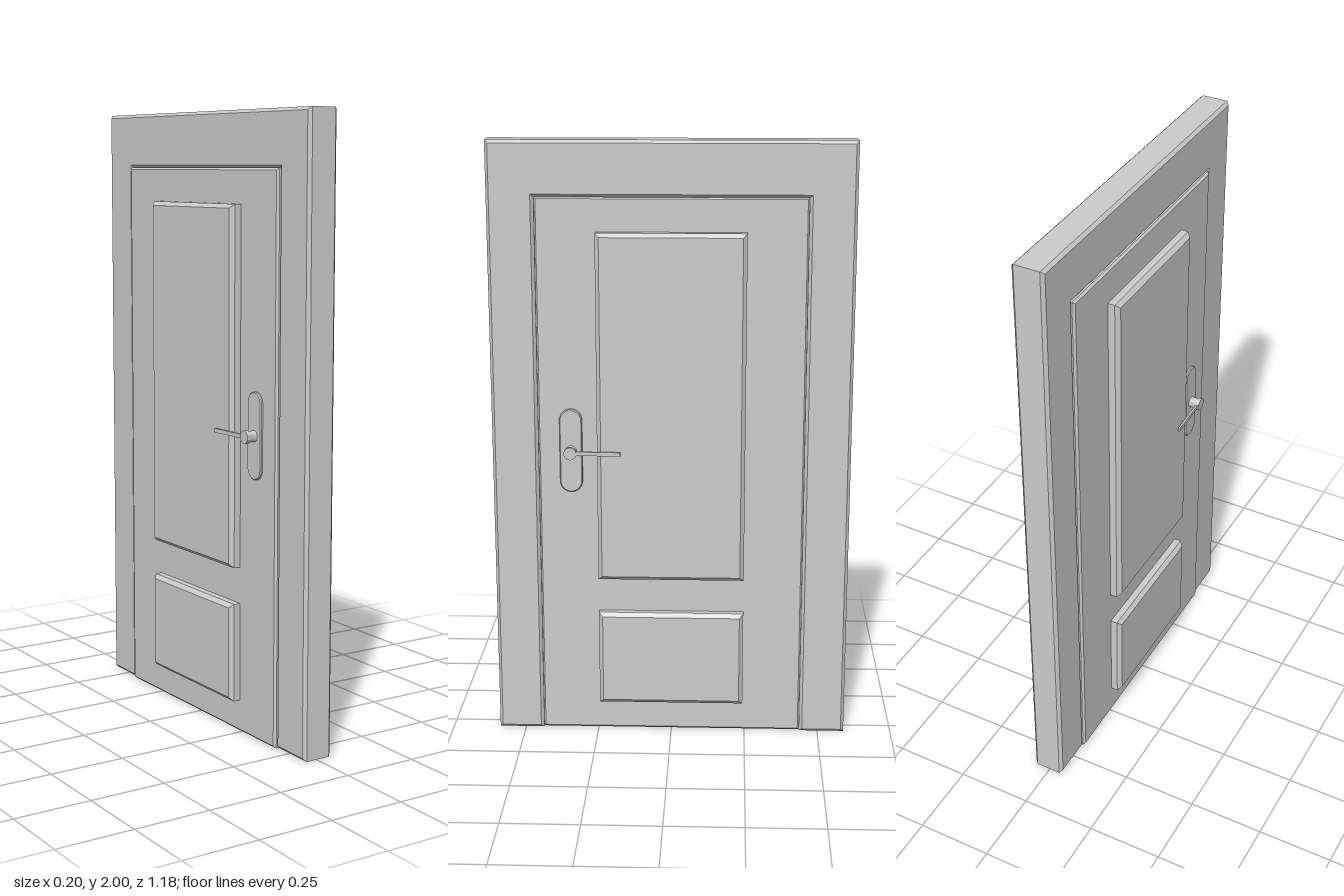
import * as THREE from 'three';
import { toCreasedNormals } from 'three/addons/utils/BufferGeometryUtils.js';

const material = new THREE.MeshStandardMaterial({ color: 0xcccccc });

function addMesh(parent, name, geometry) {
  const mesh = new THREE.Mesh(geometry, material);
  mesh.name = name;
  parent.add(mesh);
  return mesh;
}

// Extrudes an outline drawn in (-z, y) from x0 to x1 with chamfered edges
function slab(shape, x0, x1, bevel) {
  const geometry = new THREE.ExtrudeGeometry(shape, {
    depth: x1 - x0 - 2 * bevel,
    bevelThickness: bevel, bevelSize: bevel, bevelOffset: -bevel,
    bevelSegments: 1, curveSegments: 16,
  });
  geometry.translate(0, 0, x0 + bevel);
  geometry.rotateY(Math.PI / 2);
  return toCreasedNormals(geometry, 0.5);
}

function polygon(points) {
  return new THREE.Shape(points.map(([u, y]) => new THREE.Vector2(u, y)));
}

function rectangle(halfWidth, y0, y1) {
  return polygon([[-halfWidth, y0], [halfWidth, y0], [halfWidth, y1], [-halfWidth, y1]]);
}

// One handle set, pointing along +x from the door face
function createHandle(name) {
  const handle = new THREE.Group();
  handle.name = name;

  // Rounded backplate
  const radius = 0.037, reach = 0.14 - radius;
  const plate = new THREE.Shape();
  plate.absarc(0, reach, radius, 0, Math.PI, false);
  plate.absarc(0, -reach, radius, Math.PI, Math.PI * 2, false);
  plate.closePath();
  addMesh(handle, 'backplate', slab(plate, -0.02, 0.008, 0.003));

  // Waisted spindle with a flat end
  const profile = [[0.026, 0], [0.019, 0.006], [0.017, 0.016], [0.018, 0.026], [0.021, 0.034], [0.021, 0.046], [0, 0.046]]
    .map(([r, h]) => new THREE.Vector2(r, h));
  const spindle = new THREE.LatheGeometry(profile, 24);
  spindle.rotateZ(-Math.PI / 2);
  addMesh(handle, 'spindle', toCreasedNormals(spindle, 0.7));

  // Thin lever leaning slightly outward
  const lever = addMesh(handle, 'lever', new THREE.BoxGeometry(0.007, 0.013, 0.16));
  lever.position.set(0.041, 0, -0.085);
  lever.rotation.y = -0.04;
  return handle;
}

export function createModel() {
  const door = new THREE.Group();
  door.name = 'door';

  // Door frame, open at the bottom
  const frame = polygon([
    [-0.59, 0], [-0.438, 0], [-0.438, 1.82], [0.438, 1.82],
    [0.438, 0], [0.59, 0], [0.59, 2], [-0.59, 2],
  ]);
  addMesh(door, 'frame', slab(frame, -0.047, 0.058, 0.01));

  // Leaf, slightly proud at one side and recessed at the other
  addMesh(door, 'leaf', slab(rectangle(0.44, 0, 1.822), -0.054, 0.047, 0.007));

  // Raised panels showing on both faces
  addMesh(door, 'upperPanel', slab(rectangle(0.243, 0.55, 1.71), -0.09, 0.087, 0.013));
  addMesh(door, 'lowerPanel', slab(rectangle(0.243, 0.105, 0.43), -0.09, 0.081, 0.013));

  // Handles on both faces
  const rightHandle = createHandle('rightHandle');
  rightHandle.position.set(0.055, 0.99, 0.33);
  const leftHandle = createHandle('leftHandle');
  leftHandle.position.set(-0.054, 0.99, 0.33);
  leftHandle.rotation.z = Math.PI;
  door.add(rightHandle, leftHandle);

  return door;
}
